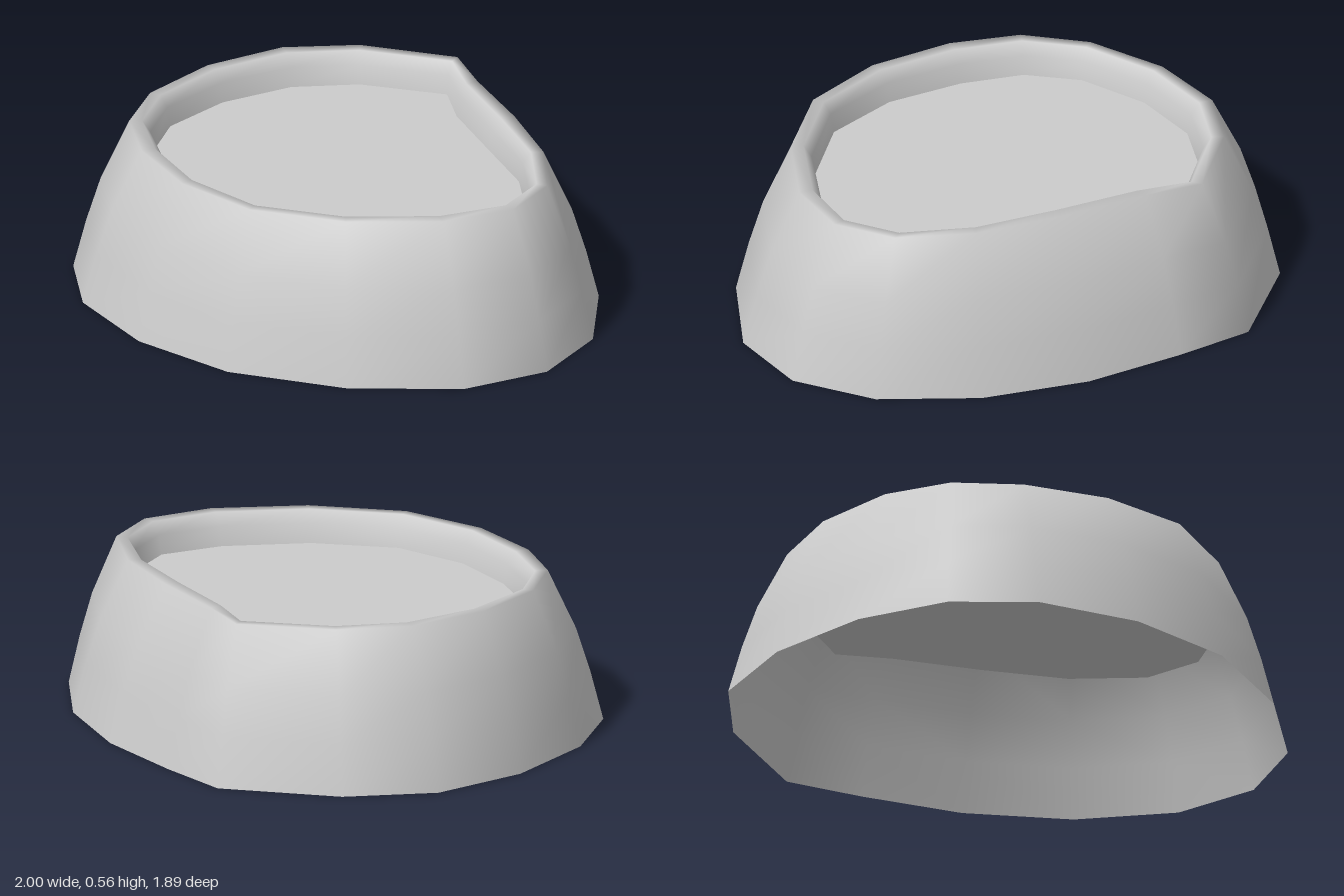
import * as THREE from 'three';

// Plan outlines as [x, z], starting at the pointed back corner
const base = [
  [0.03, -0.95], [0.28, -0.79], [0.59, -0.56], [0.85, -0.25], [1, 0.1], [0.98, 0.43], [0.78, 0.7], [0.4, 0.88],
  [-0.045, 0.94], [-0.45, 0.84], [-0.78, 0.625], [-0.955, 0.35], [-1, 0], [-0.92, -0.395], [-0.73, -0.72], [-0.425, -0.89],
];
const inner = [
  [0.025, -0.69], [0.14, -0.535], [0.375, -0.32], [0.595, -0.12], [0.735, 0.1], [0.72, 0.3], [0.555, 0.475], [0.27, 0.625],
  [-0.045, 0.68], [-0.33, 0.58], [-0.555, 0.395], [-0.7, 0.21], [-0.74, 0], [-0.665, -0.27], [-0.505, -0.5], [-0.295, -0.63],
];

// Outline blended between the inner (0) and base (1) plans
const outline = (t) => inner.map(([x, z], i) => [x + (base[i][0] - x) * t, z + (base[i][1] - z) * t]);

// Smooth skin through a stack of rings, each given as [blend, height]
function loft(profile) {
  const n = base.length, positions = [], index = [];
  profile.forEach(([t, y], k) => {
    outline(t).forEach(([x, z]) => positions.push(x, y, z));
    if (k === 0) return;
    for (let i = 0; i < n; i++) {
      const j = (i + 1) % n, lo = (k - 1) * n, hi = k * n;
      index.push(lo + j, lo + i, hi + i, lo + j, hi + i, hi + j);
    }
  });
  const geometry = new THREE.BufferGeometry();
  geometry.setAttribute('position', new THREE.Float32BufferAttribute(positions, 3));
  geometry.setIndex(index);
  geometry.computeVertexNormals();
  return geometry;
}

export function createModel() {
  const group = new THREE.Group();
  group.name = 'dish';
  const material = new THREE.MeshStandardMaterial({ color: 0xcccccc, side: THREE.DoubleSide });

  // Flared outer wall, rolled rim and inner wall in one skin, open below
  const wall = new THREE.Mesh(
    loft([[1, 0], [0.84, 0.18], [0.66, 0.345], [0.31, 0.565], [0.15, 0.565], [0.05, 0.52], [0, 0.45]]),
    material,
  );
  wall.name = 'wallAndRim';

  // Flat floor, tucked slightly under the inner wall
  const shape = new THREE.Shape(outline(0.2).map(([x, z]) => new THREE.Vector2(x, -z)));
  const floor = new THREE.Mesh(new THREE.ShapeGeometry(shape).rotateX(-Math.PI / 2), material);
  floor.position.y = 0.45;
  floor.name = 'floor';

  group.add(wall, floor);
  return group;
}
